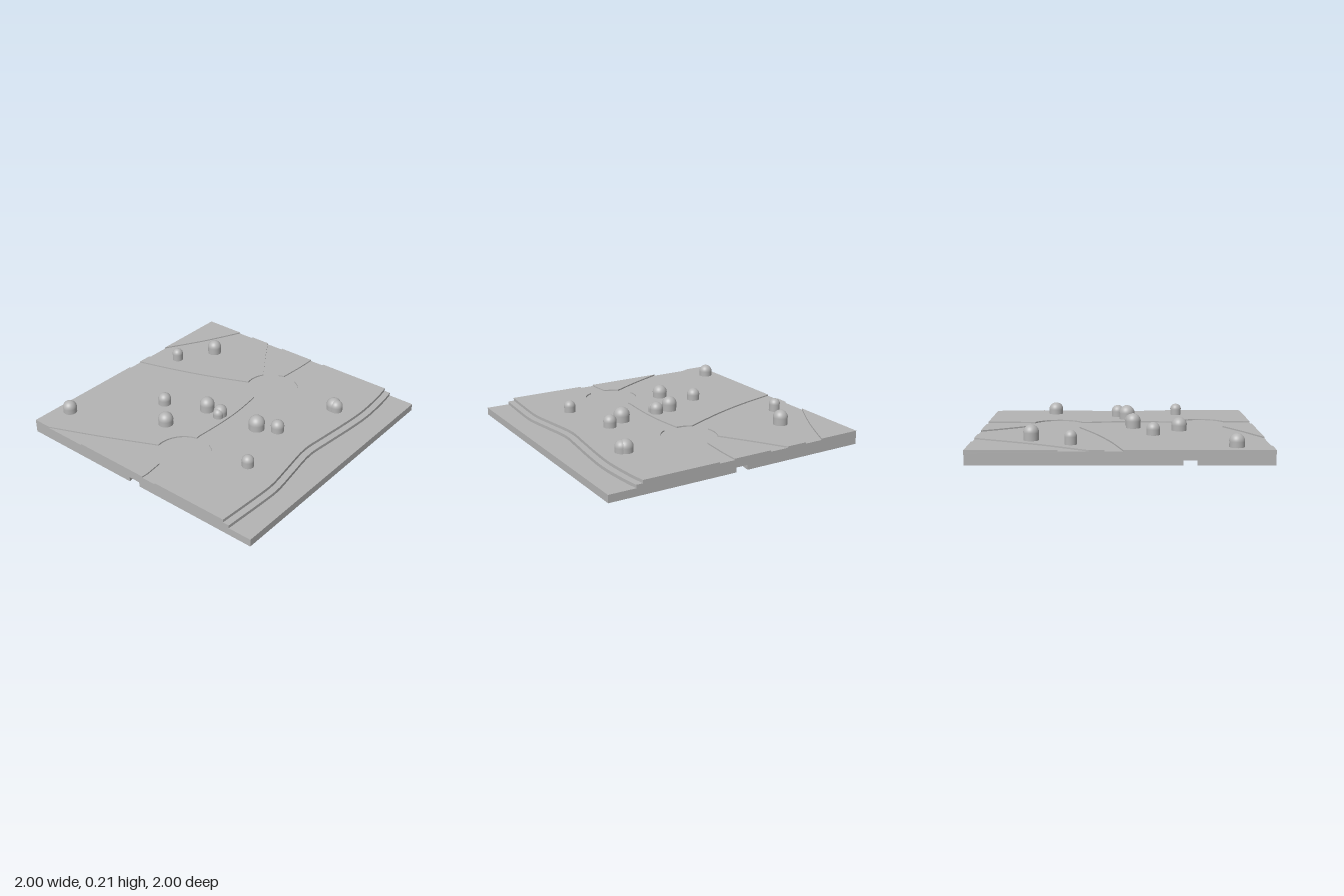
import * as THREE from 'three';

const stone = new THREE.MeshStandardMaterial({ color: 0xb4b4b4 });
stone.name = 'plainGrey';

// Layer heights
const NOTCH = 0.035, WATER = 0.055, BANK = 0.078, ROAD = 0.09, LAND = 0.1;

// Points are [x, z] on the ground plan
const trace = (path, pts) => path.setFromPoints(pts.map(([x, z]) => new THREE.Vector2(x, -z)));

function slab(name, pts, y0, y1, holes = []) {
  const shape = trace(new THREE.Shape(), pts);
  holes.forEach((h) => shape.holes.push(trace(new THREE.Path(), h)));
  const geo = new THREE.ExtrudeGeometry(shape, { depth: y1 - y0, bevelEnabled: false });
  geo.rotateX(-Math.PI / 2).translate(0, y0, 0);
  const mesh = new THREE.Mesh(geo, stone);
  mesh.name = name;
  return mesh;
}

// Short arc between two points around a plaza centre
function arc([cx, cz], a, b, n = 12) {
  const t0 = Math.atan2(a[1] - cz, a[0] - cx);
  let d = Math.atan2(b[1] - cz, b[0] - cx) - t0;
  if (d > Math.PI) d -= 2 * Math.PI;
  if (d < -Math.PI) d += 2 * Math.PI;
  const r0 = Math.hypot(a[0] - cx, a[1] - cz), r1 = Math.hypot(b[0] - cx, b[1] - cz);
  return Array.from({ length: n + 1 }, (_, i) => {
    const k = i / n, r = r0 + (r1 - r0) * k;
    return [cx + r * Math.cos(t0 + d * k), cz + r * Math.sin(t0 + d * k)];
  });
}

// Smooth line through a few points
function smooth(pts, n = 16) {
  const curve = new THREE.SplineCurve(pts.map((p) => new THREE.Vector2(...p)));
  return curve.getPoints(n).map((p) => [p.x, p.y]);
}

const rect = (x0, x1, z0, z1) => [[x0, z0], [x1, z0], [x1, z1], [x0, z1]];

// Round bush: short trunk wall with a dome on it
function bush(x, z, r, top) {
  const g = new THREE.Group();
  g.name = 'bush';
  const h = top - r - LAND;
  const stem = new THREE.Mesh(new THREE.CylinderGeometry(r * 0.97, r * 0.97, h, 32), stone);
  stem.position.set(x, LAND + h / 2, z);
  stem.name = 'bushStem';
  const dome = new THREE.Mesh(new THREE.SphereGeometry(r, 32, 12, 0, Math.PI * 2, 0, Math.PI / 2), stone);
  dome.position.set(x, top - r, z);
  dome.name = 'bushDome';
  g.add(stem, dome);
  return g;
}

export function createModel() {
  const model = new THREE.Group();
  model.name = 'terrainTile';

  // Base with dovetail connector notches on the back and both sides
  const notch = [[-0.045, 0], [-0.073, 0.155], [0.073, 0.155], [0.045, 0]];
  const bx = -0.45;
  const foot = [
    [-1, -1], ...notch.map(([u, d]) => [bx + u, -1 + d]),
    [1, -1], ...notch.map(([u, d]) => [1 - d, u]),
    [1, 1], [-1, 1], ...notch.map(([u, d]) => [-1 + d, -u]),
  ];
  model.add(slab('notchedFoot', foot, 0, NOTCH));
  model.add(slab('waterBase', rect(-1, 1, -1, 1), NOTCH, WATER));

  // Stepped shoreline, pits cut through to the base
  const shore = smooth([[1, 0.755], [0.85, 0.775], [0.62, 0.788], [0.4, 0.775], [0.15, 0.75], [-0.05, 0.735],
    [-0.3, 0.77], [-0.48, 0.797], [-0.62, 0.8], [-0.95, 0.783], [-1, 0.78]], 40);
  const lowShore = shore.map(([x, z]) => [x, z + 0.047]);
  const pits = [rect(-0.735, -0.508, -0.008, 0.223), rect(0.342, 0.572, -0.045, 0.185)];
  model.add(slab('bankStep', [[-1, -1], [1, -1], ...lowShore], WATER, BANK, pits));
  model.add(slab('roadBed', [[-1, -1], [1, -1], ...shore], BANK, ROAD, pits));

  // Raised land between the roads and round plazas
  const west = [-0.62, 0.11], east = [0.46, 0.07];
  const land = {
    westLand: [
      ...smooth([[-1, -0.52], [-0.88, -0.255], [-0.765, -0.035]]),
      ...arc(west, [-0.765, -0.035], [-0.815, 0.065]), [-0.95, 0.08], [-1, 0.077],
    ],
    northLand: [
      [-1, -1], ...smooth([[-0.02, -1], [0.06, -0.68], [0.165, -0.37], [0.295, -0.07]]),
      ...arc(east, [0.295, -0.07], [0.265, 0.045]),
      ...smooth([[0.21, 0.053], [0.05, 0.07], [-0.1, 0.075], [-0.25, 0.07], [-0.39, 0.06]]),
      ...arc(west, [-0.425, 0.065], [-0.66, -0.09]),
      ...smooth([[-0.66, -0.09], [-0.84, -0.48], [-1, -0.86]]),
    ],
    northEastLand: [
      ...smooth([[0.2, -1], [0.55, -0.77], [1, -0.54]]),
      ...smooth([[1, -0.38], [0.8, -0.255], [0.57, -0.1]]),
      ...arc(east, [0.57, -0.1], [0.41, -0.125]),
      ...smooth([[0.41, -0.125], [0.29, -0.41], [0.185, -0.71], [0.1, -1]]),
    ],
    cornerLand: [[1, -1], ...smooth([[1, -0.68], [0.7, -0.825], [0.4, -1]])],
    eastLand: [
      ...smooth([[0.64, 0], [0.83, -0.13], [1, -0.235]]),
      [1, 0.06], [0.85, 0.057], [0.655, 0.042],
    ],
    southLand: [
      [-1, 0.192], [-0.95, 0.198], ...arc(west, [-0.8, 0.195], [-0.435, 0.185], 20),
      ...smooth([[-0.36, 0.185], [-0.2, 0.197], [-0.05, 0.2], [0.1, 0.187], [0.22, 0.165]]),
      ...arc(east, [0.28, 0.16], [0.64, 0.155], 20), [0.75, 0.17], ...[[1, 0.18]], ...shore,
    ],
  };
  for (const [name, pts] of Object.entries(land)) model.add(slab(name, pts, ROAD, LAND));

  // Scattered bushes: x, z, radius, top height
  const bushes = [
    [-0.76, -0.89, 0.052, 0.19], [0.325, -0.79, 0.042, 0.195], [0.6, -0.63, 0.054, 0.207],
    [-0.235, -0.42, 0.049, 0.19], [-0.43, -0.23, 0.056, 0.195], [-0.1, -0.115, 0.055, 0.207],
    [-0.09, 0.005, 0.05, 0.185], [-0.12, 0.01, 0.04, 0.17], [-0.06, 0.32, 0.06, 0.207],
    [0.01, 0.455, 0.049, 0.19], [-0.455, 0.55, 0.043, 0.187],
    [0.51, 0.605, 0.055, 0.19], [0.503, 0.632, 0.048, 0.185],
  ];
  bushes.forEach((b) => model.add(bush(...b)));
  return model;
}
